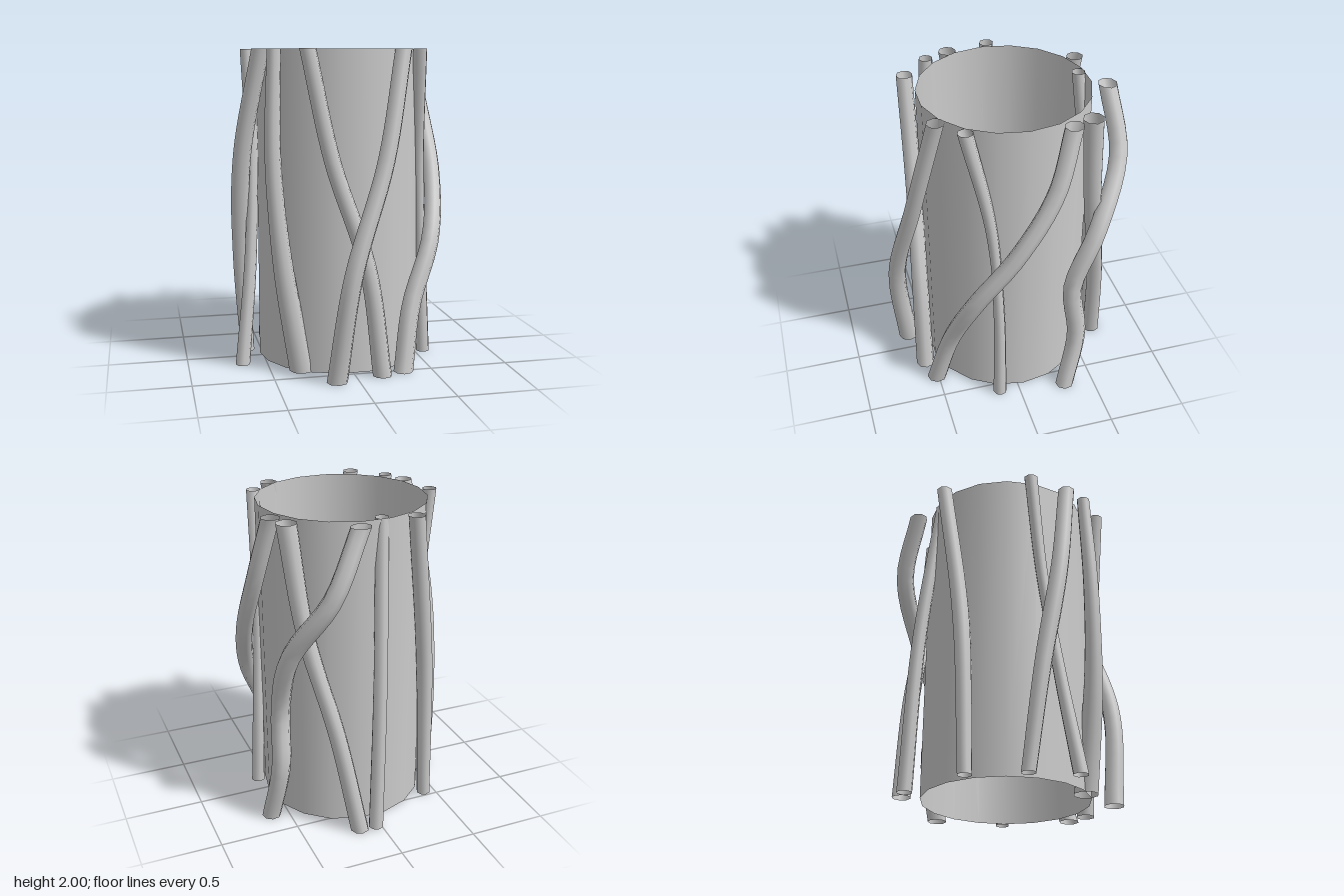
import * as THREE from 'three';

const HEIGHT = 2;
const material = new THREE.MeshStandardMaterial({ color: 0xcccccc, side: THREE.DoubleSide });

// Eight-sided open tube through [x, z] centres at evenly spaced heights, top to bottom.
// Its radius eases from top to middle to bottom, and its ends are cut level.
function createStem(name, [top, middle, bottom], path) {
  const last = path.length - 1;
  const curve = new THREE.CatmullRomCurve3(
    path.map(([x, z], i) => new THREE.Vector3(x, HEIGHT * (1 - i / last), z)));
  const rings = 24, sides = 8;
  const geometry = new THREE.TubeGeometry(curve, rings, 1, sides, false);
  const { position, normal } = geometry.attributes;
  const v = new THREE.Vector3(), n = new THREE.Vector3();
  for (let r = 0; r <= rings; r++) {
    const t = r / rings;
    const centre = curve.getPointAt(t), tangent = curve.getTangentAt(t);
    const radius = t < 0.5
      ? THREE.MathUtils.lerp(top, middle, t * 2)
      : THREE.MathUtils.lerp(middle, bottom, t * 2 - 1);
    for (let s = 0; s <= sides; s++) {
      const i = r * (sides + 1) + s;
      n.fromBufferAttribute(normal, i);
      v.copy(centre).addScaledVector(n, radius);
      // slide end vertices along the stem onto the cutting plane
      if (r === 0 || r === rings) v.addScaledVector(tangent, ((r ? 0 : HEIGHT) - v.y) / tangent.y);
      position.setXYZ(i, v.x, THREE.MathUtils.clamp(v.y, 0, HEIGHT), v.z);
    }
  }
  const mesh = new THREE.Mesh(geometry, material);
  mesh.name = name;
  return mesh;
}

export function createModel() {
  const model = new THREE.Group();
  model.name = 'stemWrappedCylinder';

  // Open hollow core
  const core = new THREE.Mesh(
    new THREE.CylinderGeometry(0.528, 0.528, HEIGHT, 18, 1, true, Math.PI / 18), material);
  core.name = 'core';
  core.position.set(0.01, HEIGHT / 2, -0.045);
  model.add(core);

  // Front pair, crossing each other
  model.add(createStem('frontInnerStem', [0.05, 0.052, 0.06],
    [[-0.285, 0.5], [-0.14, 0.51], [0.075, 0.545], [0.165, 0.56]]));
  model.add(createStem('frontOuterStem', [0.053, 0.055, 0.065],
    [[0.315, 0.44], [0.175, 0.575], [-0.045, 0.675], [-0.135, 0.62]]));

  // Left side
  model.add(createStem('leftSweepingStem', [0.056, 0.056, 0.062],
    [[0.55, -0.3], [0.62, -0.185], [0.632, 0.04], [0.55, 0.29], [0.39, 0.415], [0.315, 0.51]]));
  model.add(createStem('leftThinStem', [0.045, 0.032, 0.045],
    [[0.46, 0.305], [0.5, 0.17], [0.535, 0.13], [0.56, 0.13]]));

  // Back
  model.add(createStem('backBowedStem', [0.058, 0.062, 0.06],
    [[0.14, -0.65], [0.32, -0.68], [0.52, -0.5], [0.54, -0.355], [0.56, -0.39], [0.61, -0.31]]));
  model.add(createStem('backCrossingStem', [0.063, 0.052, 0.058],
    [[0.5, -0.43], [0.42, -0.495], [0.265, -0.61], [0.14, -0.67]]));
  model.add(createStem('backThinStem', [0.042, 0.045, 0.048],
    [[-0.04, -0.53], [0, -0.64], [0.03, -0.68]]));
  model.add(createStem('backRightStem', [0.052, 0.055, 0.045],
    [[-0.24, -0.575], [-0.375, -0.48], [-0.425, -0.45]]));

  // Right side
  model.add(createStem('rightThinStem', [0.045, 0.036, 0.046],
    [[-0.57, -0.09], [-0.555, -0.02], [-0.585, 0.07], [-0.655, 0.16]]));
  model.add(createStem('rightBowedStem', [0.055, 0.058, 0.045],
    [[-0.52, 0.18], [-0.63, 0.07], [-0.632, -0.05], [-0.59, -0.13]]));
  model.add(createStem('frontRightStem', [0.043, 0.055, 0.078],
    [[-0.46, 0.33], [-0.475, 0.355], [-0.42, 0.37], [-0.305, 0.35]]));

  return model;
}
